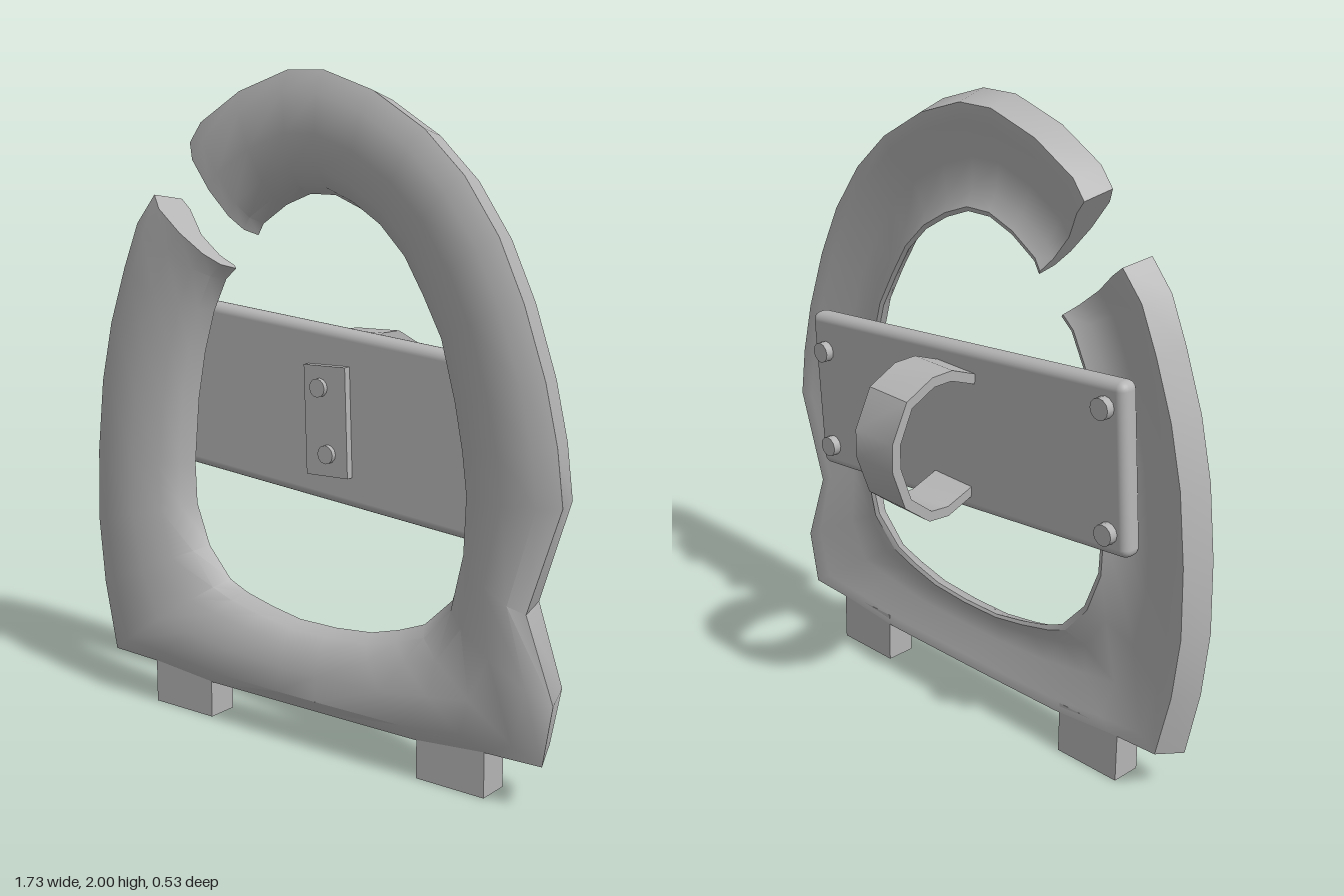
import * as THREE from 'three';
import { toCreasedNormals } from 'three/addons/utils/BufferGeometryUtils.js';
import { RoundedBoxGeometry } from 'three/addons/geometries/RoundedBoxGeometry.js';

// Rim stations, clockwise from the gap: outer x, outer y, inner x, inner y
const RIM = [
  [-0.435, 1.79, -0.24, 1.52], [-0.39, 1.85, -0.22, 1.555], [-0.24, 1.94, -0.13, 1.615],
  [-0.06, 2, -0.04, 1.65], [0.07, 2, 0.05, 1.65], [0.24, 1.945, 0.14, 1.615],
  [0.41, 1.845, 0.23, 1.56], [0.54, 1.725, 0.31, 1.48], [0.65, 1.57, 0.37, 1.38],
  [0.73, 1.4, 0.43, 1.27], [0.8, 1.2, 0.475, 1.1], [0.84, 1.03, 0.5, 0.97],
  [0.86, 0.87, 0.515, 0.85], [0.755, 0.56, 0.515, 0.69], [0.845, 0.32, 0.465, 0.525],
  [0.815, 0.14, 0.37, 0.435], [0.63, 0.135, 0.28, 0.4], [0.4, 0.115, 0.18, 0.372],
  [0.05, 0.115, 0.05, 0.36], [-0.09, 0.115, -0.09, 0.36], [-0.38, 0.115, -0.2, 0.38],
  [-0.62, 0.135, -0.3, 0.405], [-0.8, 0.14, -0.37, 0.435], [-0.845, 0.36, -0.455, 0.53],
  [-0.865, 0.57, -0.505, 0.66], [-0.857, 0.8, -0.51, 0.79], [-0.83, 1.03, -0.49, 1],
  [-0.785, 1.22, -0.46, 1.15], [-0.72, 1.4, -0.42, 1.28], [-0.66, 1.54, -0.37, 1.38],
  [-0.585, 1.63, -0.33, 1.415],
];

// Cross-section: fraction from outer to inner edge, and z; domed front, hollow back
const SECTION = [
  [0, 0.235], [0.18, 0.265], [0.5, 0.264], [0.78, 0.24], [0.93, 0.205], [1, 0.155],
  [0.96, 0.15], [0.82, 0.175], [0.55, 0.18], [0.22, 0.137], [0.08, 0.135],
];

function rimGeometry() {
  const n = SECTION.length;
  const pos = [];
  const index = [];
  for (const [ox, oy, ix, iy] of RIM) {
    for (const [t, z] of SECTION) pos.push(ox + (ix - ox) * t, oy + (iy - oy) * t, z);
  }
  for (let i = 0; i < RIM.length - 1; i++) {
    for (let j = 0; j < n; j++) {
      const a = i * n + j, b = i * n + (j + 1) % n;
      index.push(a, b, a + n, b, b + n, a + n);
    }
  }
  // Cut ends at the gap
  const last = (RIM.length - 1) * n;
  const contour = SECTION.map(([t, z]) => new THREE.Vector2(t, z));
  for (const [a, b, c] of THREE.ShapeUtils.triangulateShape(contour, [])) {
    index.push(a, b, c, last + a, last + c, last + b);
  }
  const g = new THREE.BufferGeometry();
  g.setAttribute('position', new THREE.Float32BufferAttribute(pos, 3));
  g.setIndex(index);
  return toCreasedNormals(g, 0.6);
}

// Curved band: outer arc and inner arc, extruded across its width
function handleGeometry(width) {
  const outer = [
    [0.07, 1.195], [-0.03, 1.232], [-0.11, 1.23], [-0.21, 1.18], [-0.265, 1.06],
    [-0.262, 0.97], [-0.21, 0.84], [-0.11, 0.765], [-0.03, 0.758], [0.07, 0.795],
  ];
  const cz = -0.05, cy = 0.995;
  const inner = outer.map(([z, y], i) => {
    if (i === 0) return [z, y - 0.033];
    if (i === outer.length - 1) return [z, y + 0.033];
    const k = 1 - 0.033 / Math.hypot(z - cz, y - cy);
    return [cz + (z - cz) * k, cy + (y - cy) * k];
  });
  const shape = new THREE.Shape([...outer, ...inner.reverse()].map(([z, y]) => new THREE.Vector2(z, y - 1)));
  const g = new THREE.ExtrudeGeometry(shape, { depth: width, bevelEnabled: false });
  g.translate(0, 0, -width / 2).rotateY(-Math.PI / 2);
  return toCreasedNormals(g, 0.65);
}

export function createModel() {
  const model = new THREE.Group();
  model.name = 'ringHandle';
  const grey = new THREE.MeshStandardMaterial({ color: 0xb4b4b4, side: THREE.DoubleSide });
  grey.name = 'grey';

  const add = (parent, name, geometry, x = 0, y = 0, z = 0) => {
    const mesh = new THREE.Mesh(geometry, grey);
    mesh.name = name;
    mesh.position.set(x, y, z);
    parent.add(mesh);
    return mesh;
  };
  const bolt = (r, h) => new THREE.CylinderGeometry(r, r, h, 12).rotateX(Math.PI / 2);

  add(model, 'rim', rimGeometry());

  // Two feet under the rim
  add(model, 'leftFoot', new THREE.BoxGeometry(0.23, 0.17, 0.1), 0.515, 0.085, 0.186);
  add(model, 'rightFoot', new THREE.BoxGeometry(0.235, 0.17, 0.1), -0.5025, 0.085, 0.186);

  // Tilted cross plate with four bolts on its back
  const plate = new THREE.Group();
  plate.name = 'crossPlate';
  plate.position.set(0.002, 1, 0);
  plate.rotation.z = -0.08;
  model.add(plate);
  add(plate, 'plate', new RoundedBoxGeometry(1.335, 0.525, 0.07, 3, 0.028), 0, 0, 0.1);
  for (const [x, y] of [[-0.6, 0.185], [-0.6, -0.19], [0.6, 0.14], [0.6, -0.185]]) {
    add(plate, 'plateBolt', bolt(0.033, 0.04), x, y, 0.058);
  }

  // Strap on the front and curved grip on the back
  const grip = new THREE.Group();
  grip.name = 'grip';
  grip.position.set(0.012, 1, 0);
  grip.rotation.z = 0.03;
  model.add(grip);
  add(grip, 'strap', new THREE.BoxGeometry(0.152, 0.33, 0.024), 0, -0.013, 0.146);
  add(grip, 'strapBolt', bolt(0.028, 0.02), -0.018, 0.087, 0.163);
  add(grip, 'strapBolt', bolt(0.028, 0.02), 0.006, -0.11, 0.163);
  add(grip, 'gripBand', handleGeometry(0.16));

  return model;
}
